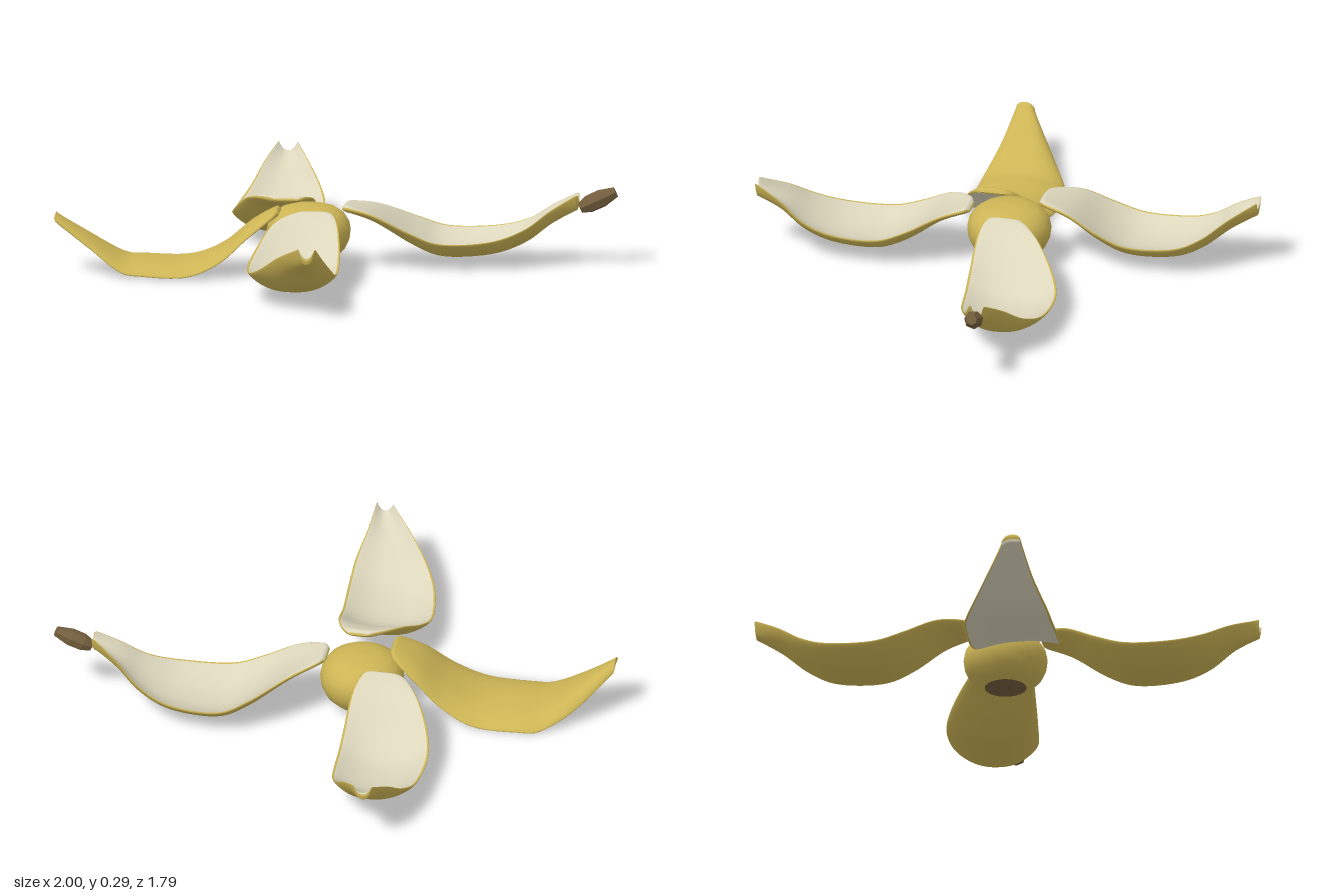
import * as THREE from 'three';

const skin = new THREE.MeshStandardMaterial({ color: 0xcdb555 });
skin.name = 'yellowSkin';
const flesh = new THREE.MeshStandardMaterial({ color: 0xdcd6bc });
flesh.name = 'creamFlesh';
const brown = new THREE.MeshStandardMaterial({ color: 0x75603f, flatShading: true });
brown.name = 'brownStem';

// Height stations along a strip: [middle height, rise of edge a, rise of edge b]
const TROUGH = [
  [0.222, 0, 0], [0.218, 0.006, 0.006], [0.18, 0.022, 0.022], [0.092, 0.048, 0.048], [0.047, 0.055, 0.055],
  [0.056, 0.053, 0.053], [0.1, 0.047, 0.047], [0.168, 0.042, 0.042], [0.215, 0.042, 0.042], [0.222, 0.042, 0.042],
];
const ARCH = [
  [0.222, 0, 0], [0.218, -0.01, -0.01], [0.172, -0.025, -0.025], [0.09, -0.03, -0.03], [0.04, -0.03, -0.033],
  [0.037, -0.027, -0.033], [0.046, -0.022, -0.038], [0.115, -0.015, -0.05], [0.19, -0.01, -0.025], [0.208, -0.008, -0.015],
];

// Outline stations: [distance along the axis, edge a, edge b]
const STRIPS = [
  { name: 'frontPeel', along: 'z', heights: TROUGH, side: 1, outline: [
    [0.11, -0.09, -0.03], [0.14, -0.145, 0.003], [0.22, -0.21, 0.03], [0.34, -0.255, 0.05], [0.45, -0.272, 0.058],
    [0.6, -0.25, 0.065], [0.71, -0.2, 0.06], [0.8, -0.125, 0.035], [0.88, -0.05, 0.023], [0.895, -0.042, 0.019]] },
  { name: 'backPeel', along: 'z', heights: TROUGH, side: 1, outline: [
    [-0.11, -0.155, -0.23], [-0.14, -0.125, -0.285], [-0.23, -0.105, -0.35], [-0.34, -0.1, -0.405], [-0.45, -0.1, -0.425],
    [-0.61, -0.108, -0.415], [-0.71, -0.135, -0.385], [-0.8, -0.185, -0.35], [-0.88, -0.23, -0.315], [-0.895, -0.24, -0.305]] },
  { name: 'leftPeel', along: 'x', heights: TROUGH, side: 1, outline: [
    [0.02, 0.01, -0.065], [0.05, 0.035, -0.11], [0.14, 0.045, -0.185], [0.27, 0.038, -0.27], [0.38, 0.028, -0.305],
    [0.55, 0.003, -0.3], [0.67, -0.04, -0.258], [0.76, -0.075, -0.205], [0.84, -0.1, -0.163], [0.86, -0.11, -0.155]] },
  // this strip lies turned over, skin side up
  { name: 'rightPeel', along: 'x', heights: ARCH, side: -1, outline: [
    [-0.195, 0.11, 0.03], [-0.22, 0.148, -0.008], [-0.3, 0.197, -0.04], [-0.4, 0.235, -0.058], [-0.52, 0.25, -0.075],
    [-0.68, 0.246, -0.074], [-0.76, 0.24, -0.058], [-0.87, 0.205, 0.01], [-0.98, 0.182, 0.098], [-1, 0.178, 0.112]] },
];

// Lofts a closed, thin curved section along the stations; flesh on one face, skin around it
function peelStrip({ name, along, heights, side, outline }) {
  const rows = 56, cols = 40, half = cols / 2, thickness = 0.028;
  const curve = (list) => new THREE.CatmullRomCurve3(list.map((p) => new THREE.Vector3(...p)), false, 'catmullrom', 0.5);
  const plan = curve(outline), rise = curve(heights);
  const positions = [], skinFaces = [], fleshFaces = [];
  for (let i = 0; i <= rows; i++) {
    const t = i / rows;
    const p = plan.getPoint(t), h = rise.getPoint(t);
    const taper = Math.sqrt(Math.min(1, t * 14, (1 - t) * 18));
    for (let j = 0; j < cols; j++) {
      const u = -Math.cos((2 * Math.PI * j) / cols);
      const across = THREE.MathUtils.lerp(p.y, p.z, (u + 1) / 2);
      const bend = (u < 0 ? h.y : h.z) * Math.pow(Math.abs(u), 2.4);
      const shell = (j < half ? 1 : -1) * side * (thickness / 2) * taper * Math.sqrt(Math.max(0, 1 - u ** 4));
      const y = h.x + bend + shell;
      if (along === 'z') positions.push(across, y, p.x);
      else positions.push(p.x, y, across);
    }
  }
  for (let i = 0; i < rows; i++) {
    for (let j = 0; j < cols; j++) {
      const k = (j + 1) % cols;
      const a = i * cols + j, b = i * cols + k, c = a + cols, d = b + cols;
      const inner = j >= 2 && j < half - 2 && i >= 1 && i < rows - 1;
      (inner ? fleshFaces : skinFaces).push(a, c, b, b, c, d);
    }
  }
  const geometry = new THREE.BufferGeometry();
  geometry.setAttribute('position', new THREE.Float32BufferAttribute(positions, 3));
  geometry.setIndex([...skinFaces, ...fleshFaces]);
  geometry.addGroup(0, skinFaces.length, 0);
  geometry.addGroup(skinFaces.length, fleshFaces.length, 1);
  geometry.computeVertexNormals();
  const mesh = new THREE.Mesh(geometry, [skin, flesh]);
  mesh.name = name;
  return mesh;
}

function lathe(name, profile, segments, material) {
  const mesh = new THREE.Mesh(new THREE.LatheGeometry(profile.map((p) => new THREE.Vector2(...p)), segments), material);
  mesh.name = name;
  return mesh;
}

export function createModel() {
  const model = new THREE.Group();
  model.name = 'peel';

  STRIPS.forEach((strip) => model.add(peelStrip(strip)));

  // rounded base joining the strips
  const base = lathe('base', [[0.075, 0.033], [0.105, 0.047], [0.132, 0.075], [0.147, 0.108], [0.151, 0.14],
    [0.145, 0.17], [0.128, 0.197], [0.1, 0.217], [0.06, 0.229], [0, 0.233]], 40, skin);
  // dark blossom end underneath
  const tip = lathe('baseTip', [[0, 0.026], [0.04, 0.027], [0.075, 0.033]], 20, brown);
  for (const part of [base, tip]) {
    part.position.set(-0.102, 0, -0.015);
    model.add(part);
  }

  // faceted stem at the end of one strip
  const from = new THREE.Vector3(0.865, 0.216, -0.128);
  const axis = new THREE.Vector3(0.992, 0.274, -0.145).sub(from);
  const len = axis.length();
  const stem = lathe('stem', [[0, 0], [0.02, 0], [0.032, len * 0.25], [0.033, len * 0.6], [0.019, len], [0, len]], 7, brown);
  stem.position.copy(from);
  stem.quaternion.setFromUnitVectors(new THREE.Vector3(0, 1, 0), axis.normalize());
  model.add(stem);

  return model;
}
